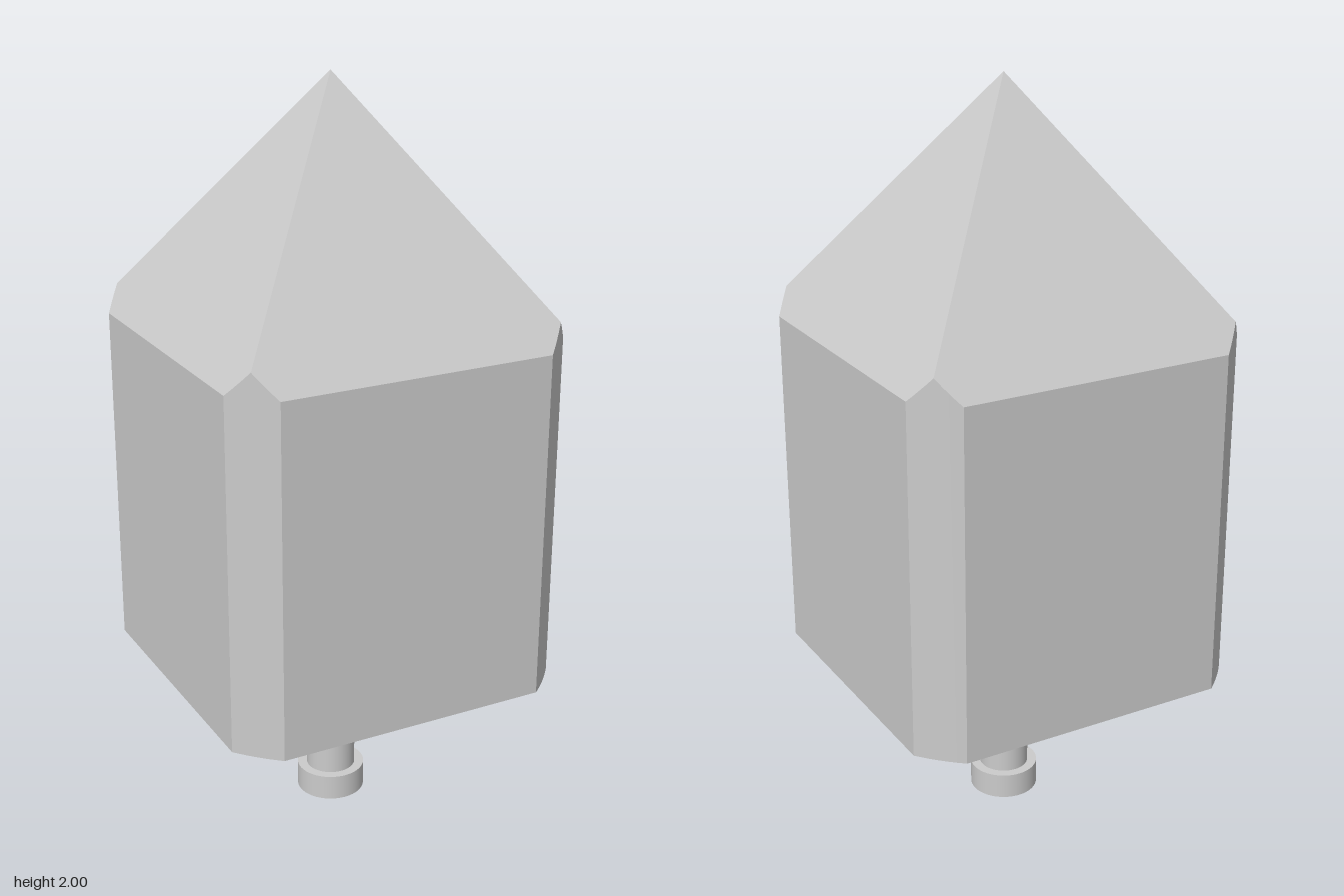
import * as THREE from 'three';
import { toCreasedNormals } from 'three/addons/utils/BufferGeometryUtils.js';

const HALF = 0.464;      // half width of the square head
const FLAT = 0.367;      // half width of each flat face
const BASE = 0.423, EAVE = 1.353, APEX = 2;

// Square outline whose corners are turned to a round of larger radius
function headOutline(steps = 6) {
  const radius = Math.hypot(HALF, FLAT);
  const start = Math.atan2(FLAT, HALF);
  const sweep = Math.PI / 2 - 2 * start;
  const points = [];
  for (let corner = 0; corner < 4; corner++) {
    for (let i = 0; i <= steps; i++) {
      const a = corner * Math.PI / 2 + start + sweep * i / steps;
      points.push([radius * Math.cos(a), radius * Math.sin(a)]);
    }
  }
  return points;
}

// Walls rise to meet the pyramid planes, so the rounded corners end in points
function headGeometry() {
  const outline = headOutline();
  const slope = (APEX - EAVE) / HALF;
  const position = [];
  const tri = (...corners) => corners.forEach(c => position.push(...c));
  outline.forEach(([x0, z0], i) => {
    const [x1, z1] = outline[(i + 1) % outline.length];
    const roofY = (x, z) => APEX - slope * Math.max(Math.abs(x), Math.abs(z));
    const b0 = [x0, BASE, z0], b1 = [x1, BASE, z1];
    const t0 = [x0, roofY(x0, z0), z0], t1 = [x1, roofY(x1, z1), z1];
    tri(b0, t0, t1);
    tri(b0, t1, b1);
    tri(t0, [0, APEX, 0], t1);
    tri(b0, b1, [0, BASE, 0]);
  });
  const geometry = new THREE.BufferGeometry();
  geometry.setAttribute('position', new THREE.Float32BufferAttribute(position, 3));
  return toCreasedNormals(geometry, 0.4);
}

export function createModel() {
  const group = new THREE.Group();
  const material = new THREE.MeshStandardMaterial({ color: 0xcccccc });
  const add = (name, geometry, y = 0) => {
    const mesh = new THREE.Mesh(geometry, material);
    mesh.name = name;
    mesh.position.y = y;
    group.add(mesh);
  };
  const disc = (radius, bottom, top) => [
    new THREE.CylinderGeometry(radius, radius, top - bottom, 48), (bottom + top) / 2];

  // Pointed block, then the pin below it with its wider foot
  add('pointedHead', headGeometry());
  add('stem', ...disc(0.067, 0.07, BASE));
  add('foot', ...disc(0.0925, 0, 0.07));
  return group;
}
